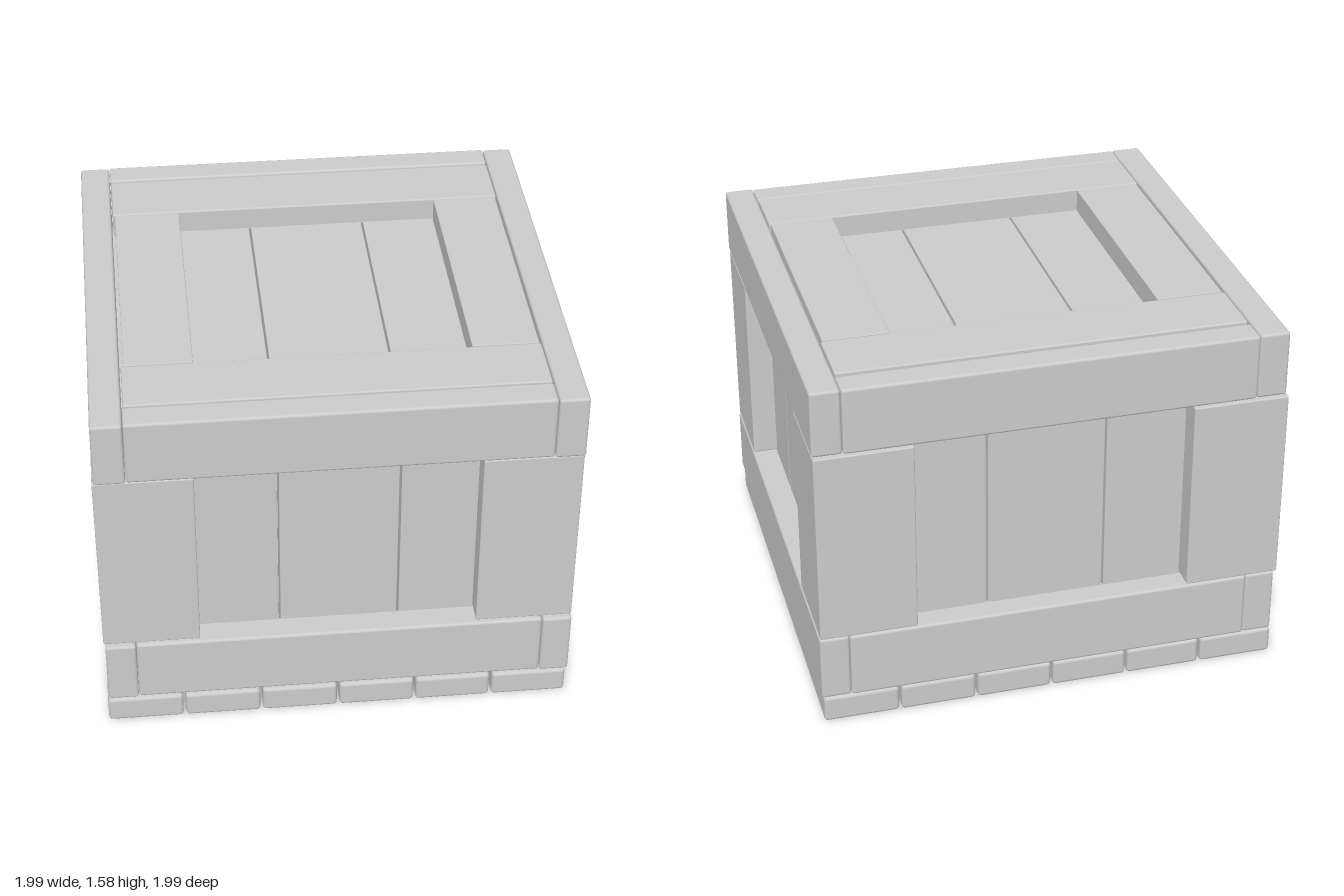
import * as THREE from 'three';
import { RoundedBoxGeometry } from 'three/addons/geometries/RoundedBoxGeometry.js';

const material = new THREE.MeshStandardMaterial({ color: 0xcccccc });

export function createModel() {
  const crate = new THREE.Group();
  crate.name = 'woodenCrate';

  // A board with softened edges, given by its extents on each axis
  function board(name, [x0, x1], [y0, y1], [z0, z1], radius = 0.012) {
    const mesh = new THREE.Mesh(
      new RoundedBoxGeometry(x1 - x0, y1 - y0, z1 - z0, 2, radius), material);
    mesh.position.set((x0 + x1) / 2, (y0 + y1) / 2, (z0 + z1) / 2);
    mesh.name = name;
    crate.add(mesh);
  }

  // Floor: six planks running front to back
  for (let i = 0; i < 6; i++) {
    const x = -0.995 + i * 0.332;
    board('floorPlank', [x, x + 0.321], [0.005, 0.122], [-0.98, 0.99], 0.015);
  }

  // Lower and upper rail frames; the side rails run the full depth
  for (const y of [[0.13, 0.422], [1.292, 1.58]]) {
    board('sideRail', [-0.99, -0.862], y, [-0.985, 0.99]);
    board('sideRail', [0.87, 0.995], y, [-0.985, 0.99]);
    board('frontRail', [-0.86, 0.868], y, [0.862, 0.985]);
    board('backRail', [-0.86, 0.868], y, [-0.99, -0.868]);
  }

  // Corner posts: two boards meeting in an L
  const postY = [0.432, 1.288];
  for (const x of [[-0.997, -0.59], [0.582, 0.993]]) {
    board('frontPost', x, postY, [0.865, 0.976], 0.006);
    board('backPost', x, postY, [-0.996, -0.875], 0.006);
  }
  for (const z of [[-0.996, -0.582], [0.572, 0.976]]) {
    board('leftPost', [0.875, 0.993], postY, z, 0.006);
    board('rightPost', [-0.997, -0.875], postY, z, 0.006);
  }

  // Recessed planks: three on each wall and three on the lid
  const wallY = [0.13, 1.4];
  for (let i = 0; i < 3; i++) {
    const x = [-0.747 + i * 0.505, -0.251 + i * 0.505];
    const z = [-0.755 + i * 0.5, -0.262 + i * 0.5];
    board('frontPlank', x, wallY, [0.77, 0.875], 0.003);
    board('backPlank', x, wallY, [-0.89, -0.785], 0.003);
    board('leftPlank', [0.78, 0.885], wallY, z, 0.003);
    board('rightPlank', [-0.885, -0.78], wallY, z, 0.003);
    board('lidPlank', x, [1.38, 1.48], [-0.86, 0.865], 0.003);
  }

  // Lid frame around the recess
  const lidY = [1.47, 1.582];
  board('lidBackBoard', [-0.855, 0.865], lidY, [-0.85, -0.57], 0.008);
  board('lidFrontBoard', [-0.855, 0.865], lidY, [0.587, 0.858], 0.008);
  board('lidRightBoard', [-0.845, -0.562], lidY, [-0.566, 0.585], 0.004);
  board('lidLeftBoard', [0.58, 0.858], lidY, [-0.566, 0.585], 0.004);

  return crate;
}
